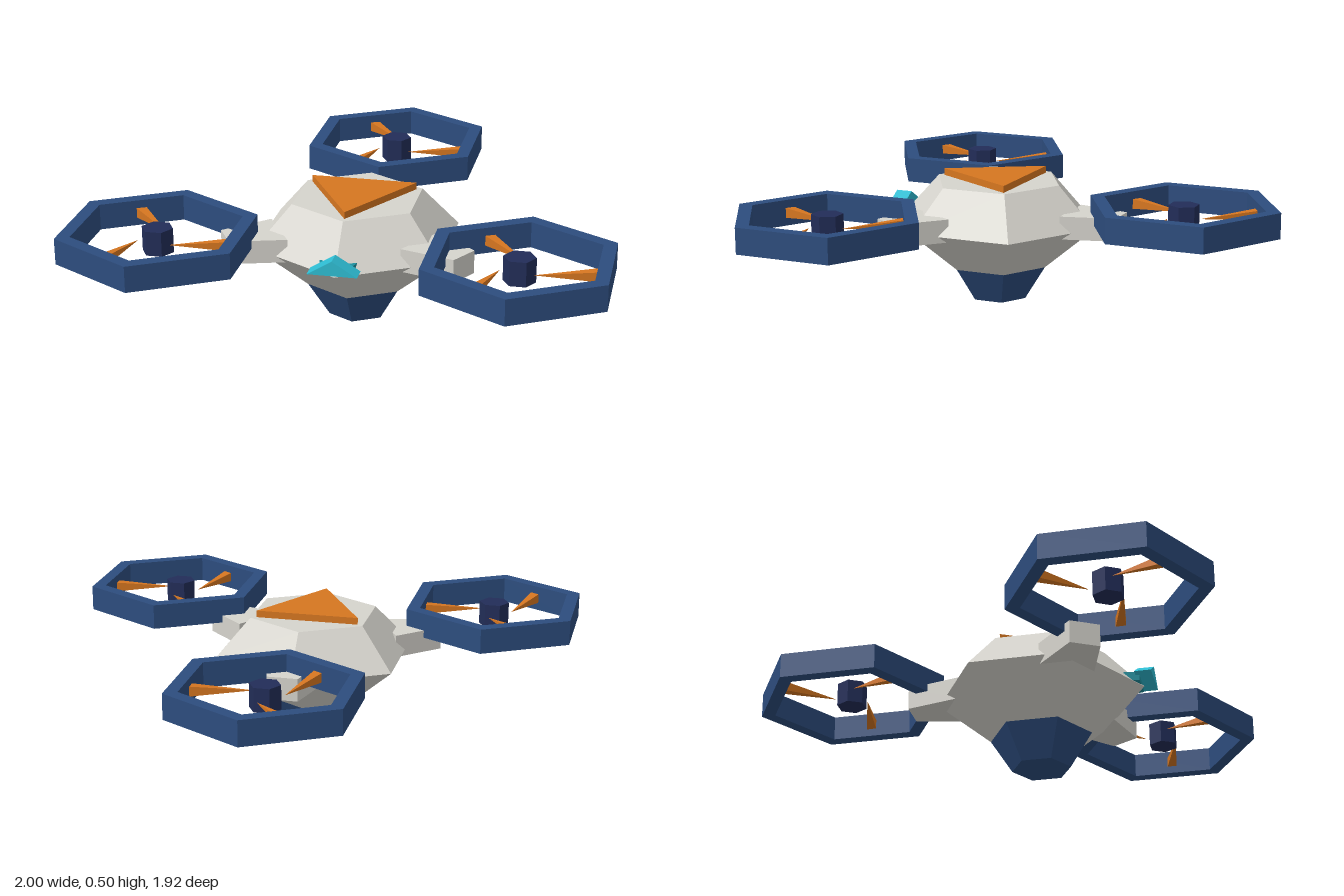
import * as THREE from 'three';

const mat = (name, color, flat = true) => {
  const m = new THREE.MeshStandardMaterial({ color, flatShading: flat });
  m.name = name;
  return m;
};

export function createModel() {
  const grey = mat('shell grey', 0xd6d4cd);
  const blue = mat('frame blue', 0x2d4d7e);
  const navy = mat('motor navy', 0x222d58);
  const orange = mat('accent orange', 0xd67620);
  const cyan = mat('sensor cyan', 0x2ebcd2);
  const teal = mat('sensor teal', 0x1f8f9e);

  const model = new THREE.Group();
  model.name = 'triRotorDrone';
  const CZ = 0.19; // body axis

  const add = (parent, name, geo, material, x = 0, y = 0, z = 0) => {
    const m = new THREE.Mesh(geo, material);
    m.name = name;
    m.position.set(x, y, z);
    parent.add(m);
    return m;
  };
  // Prism along y with n sides, first corner towards +z
  const prism = (rTop, rBottom, y0, y1, n = 6) =>
    new THREE.CylinderGeometry(rTop, rBottom, y1 - y0, n).translate(0, (y0 + y1) / 2, 0);
  // Horizontal plate from [x, z] corners, with an optional hole
  const plate = (points, y0, y1, hole) => {
    const toV = (p) => p.map(([x, z]) => new THREE.Vector2(x, -z));
    const shape = new THREE.Shape(toV(points));
    if (hole) shape.holes.push(new THREE.Path(toV(hole)));
    return new THREE.ExtrudeGeometry(shape, { depth: y1 - y0, bevelEnabled: false })
      .rotateX(-Math.PI / 2).translate(0, y0, 0);
  };
  const hexagon = (r) => Array.from({ length: 6 }, (_, i) =>
    [r * Math.sin(i * Math.PI / 3), r * Math.cos(i * Math.PI / 3)]);

  // Faceted body
  add(model, 'upperHull', prism(0.26, 0.41, 0.31, 0.47), grey, 0, 0, CZ);
  add(model, 'lowerHull', prism(0.41, 0.2, 0.135, 0.31), grey, 0, 0, CZ);
  add(model, 'bellyPod', prism(0.2, 0.115, 0, 0.135), blue, 0, 0, CZ);
  add(model, 'topPanel', prism(0.235, 0.235, 0.465, 0.497, 3), orange, 0, 0, CZ);

  // Front sensor: roof-shaped visor on a small mount
  const visor = new THREE.Shape();
  visor.moveTo(-0.093, 0.333);
  visor.lineTo(0.093, 0.333);
  visor.lineTo(0, 0.39);
  add(model, 'sensorVisor',
    new THREE.ExtrudeGeometry(visor, { depth: 0.065, bevelEnabled: false }), cyan, 0, 0, 0.575);
  add(model, 'sensorMount',
    plate([[-0.07, 0.53], [-0.055, 0.59], [0.055, 0.59], [0.07, 0.53]], 0.312, 0.345), teal);

  // Three arms, each with a ducted rotor
  const ringGeo = plate(hexagon(0.38), 0.345, 0.445, hexagon(0.323));
  const armGeo = plate([[-0.11, 0.31], [-0.06, 0.52], [0.06, 0.52], [0.11, 0.31]], 0.285, 0.375);
  const hubGeo = prism(0.06, 0.06, 0.348, 0.442).rotateY(Math.PI / 6);
  const bladeGeo = new THREE.ConeGeometry(0.028, 0.24, 4)
    .rotateY(Math.PI / 4).rotateZ(Math.PI / 2).rotateY(0.21).translate(0.172, 0.395, 0.022);

  ['leftFront', 'back', 'rightFront'].forEach((side, i) => {
    const a = Math.PI / 3 + i * Math.PI * 2 / 3;
    add(model, side + 'Arm', armGeo, grey, 0, 0, CZ).rotation.y = a;

    const rotor = new THREE.Group();
    rotor.name = side + 'Rotor';
    rotor.position.set(0.773 * Math.sin(a), 0, CZ + 0.773 * Math.cos(a));
    add(rotor, 'guardRing', ringGeo, blue);
    add(rotor, 'motorHub', hubGeo, navy);
    for (let k = 0; k < 3; k++) {
      add(rotor, 'blade', bladeGeo, orange).rotation.y = k * Math.PI * 2 / 3;
    }
    model.add(rotor);
  });

  return model;
}
